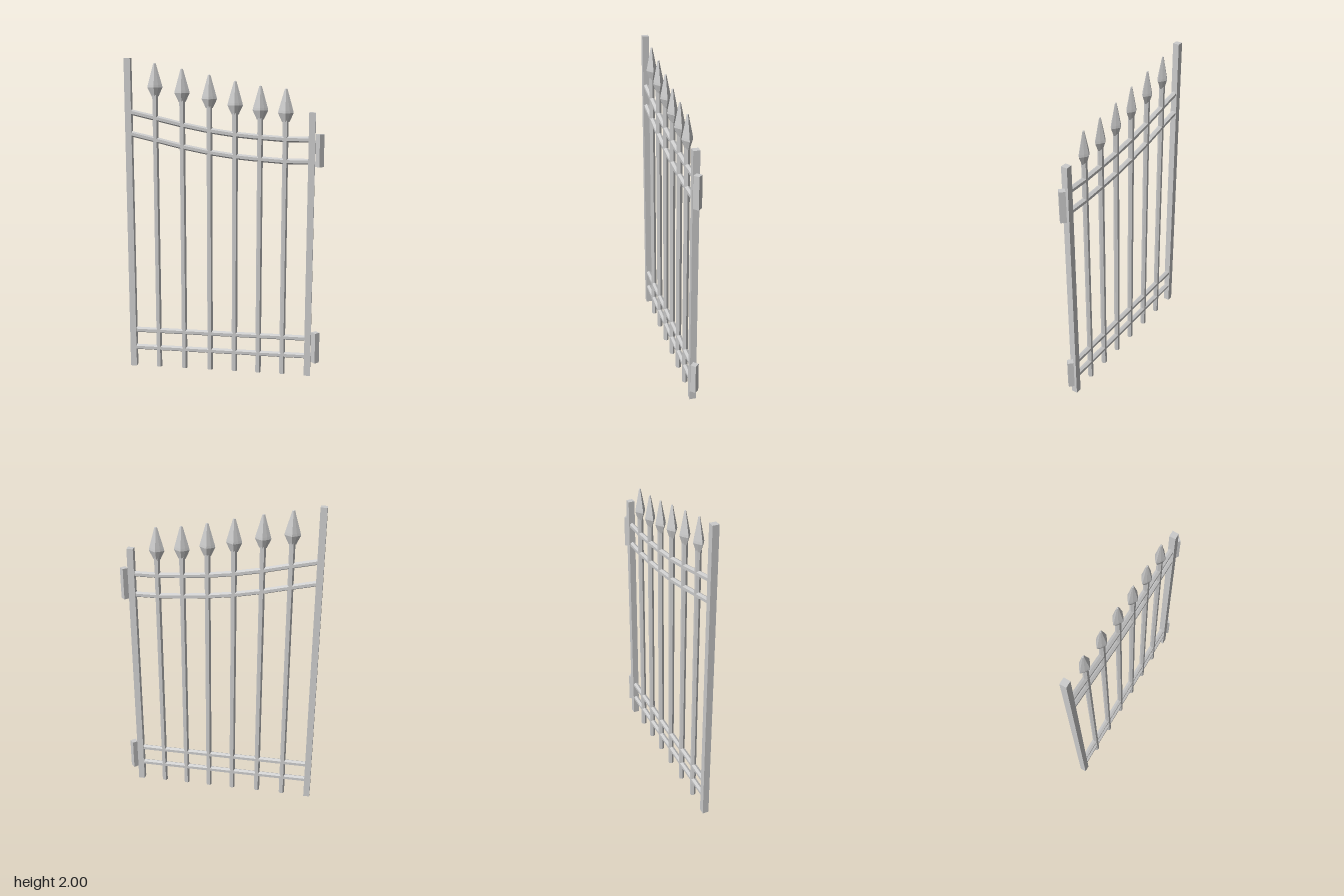
import * as THREE from 'three';

const material = new THREE.MeshStandardMaterial({ color: 0xcccccc, flatShading: true });

function add(parent, name, geometry, x = 0, y = 0, z = 0) {
  const mesh = new THREE.Mesh(geometry, material);
  mesh.name = name;
  mesh.position.set(x, y, z);
  parent.add(mesh);
  return mesh;
}

// Hexagonal rod along y, with its corners pointing to +x and -x
function rod(length, segments = 1) {
  return new THREE.CylinderGeometry(0.018, 0.018, length, 6, segments).rotateY(Math.PI / 2);
}

// Sagging line of the upper rails, given at each bar and at both posts
const railX = [-0.585, -0.43, -0.26, -0.09, 0.07, 0.225, 0.38, 0.53];
const railY = [1.67, 1.635, 1.595, 1.562, 1.54, 1.526, 1.516, 1.516];

// Rail that follows a list of heights; its columns are moved to the x stations
function rail(heights) {
  const n = railX.length - 1;
  const geometry = rod(n, n).rotateZ(Math.PI / 2);
  const p = geometry.attributes.position;
  for (let i = 0; i < p.count; i++) {
    const k = Math.round(p.getX(i) + n / 2);
    p.setX(i, railX[k]);
    p.setY(i, p.getY(i) + heights[k]);
  }
  geometry.computeVertexNormals();
  return geometry;
}

// Spearhead: a lathe pressed to a flattened diamond section
function spearhead() {
  const profile = [[0, 0], [0.022, 0], [0.048, 0.055], [0.045, 0.07], [0.008, 0.2], [0, 0.203]]
    .map(([r, y]) => new THREE.Vector2(r, y));
  const geometry = new THREE.LatheGeometry(profile, 8);
  const p = geometry.attributes.position;
  for (let i = 0; i < p.count; i++) {
    const x = p.getX(i), z = p.getZ(i);
    const diagonal = Math.abs(x) > 0.001 && Math.abs(z) > 0.001;
    const s = diagonal ? 0.77 : 1;
    p.setX(i, x * s);
    p.setZ(i, z * s * 0.7);
  }
  geometry.computeVertexNormals();
  return geometry;
}

export function createModel() {
  const gate = new THREE.Group();
  gate.name = 'gate';

  // Square end posts
  add(gate, 'tallPost', new THREE.BoxGeometry(0.04, 2, 0.04), -0.6, 1, 0);
  add(gate, 'hingePost', new THREE.BoxGeometry(0.04, 1.68, 0.04), 0.542, 0.84, 0);

  // Hinge blocks turned on edge
  for (const y of [0.188, 1.45]) {
    const block = new THREE.BoxGeometry(0.037, 0.2, 0.037).rotateY(Math.PI / 4);
    add(gate, 'hinge', block, 0.59, y, 0);
  }

  // Two straight lower rails and two curved upper rails
  for (const y of [0.128, 0.247]) add(gate, 'lowerRail', rail(railX.map(() => y)));
  for (const drop of [0, 0.135]) add(gate, 'upperRail', rail(railY.map((y) => y - drop)));

  // Upright bars with spearheads
  const headBase = [1.768, 1.735, 1.7, 1.663, 1.635, 1.62];
  headBase.forEach((top, i) => {
    const bar = new THREE.Group();
    bar.name = 'spearBar';
    bar.position.x = railX[i + 1];
    gate.add(bar);
    add(bar, 'bar', rod(top + 0.01), 0, (top + 0.01) / 2, 0);
    add(bar, 'spearhead', spearhead(), 0, top, 0);
  });

  return gate;
}
